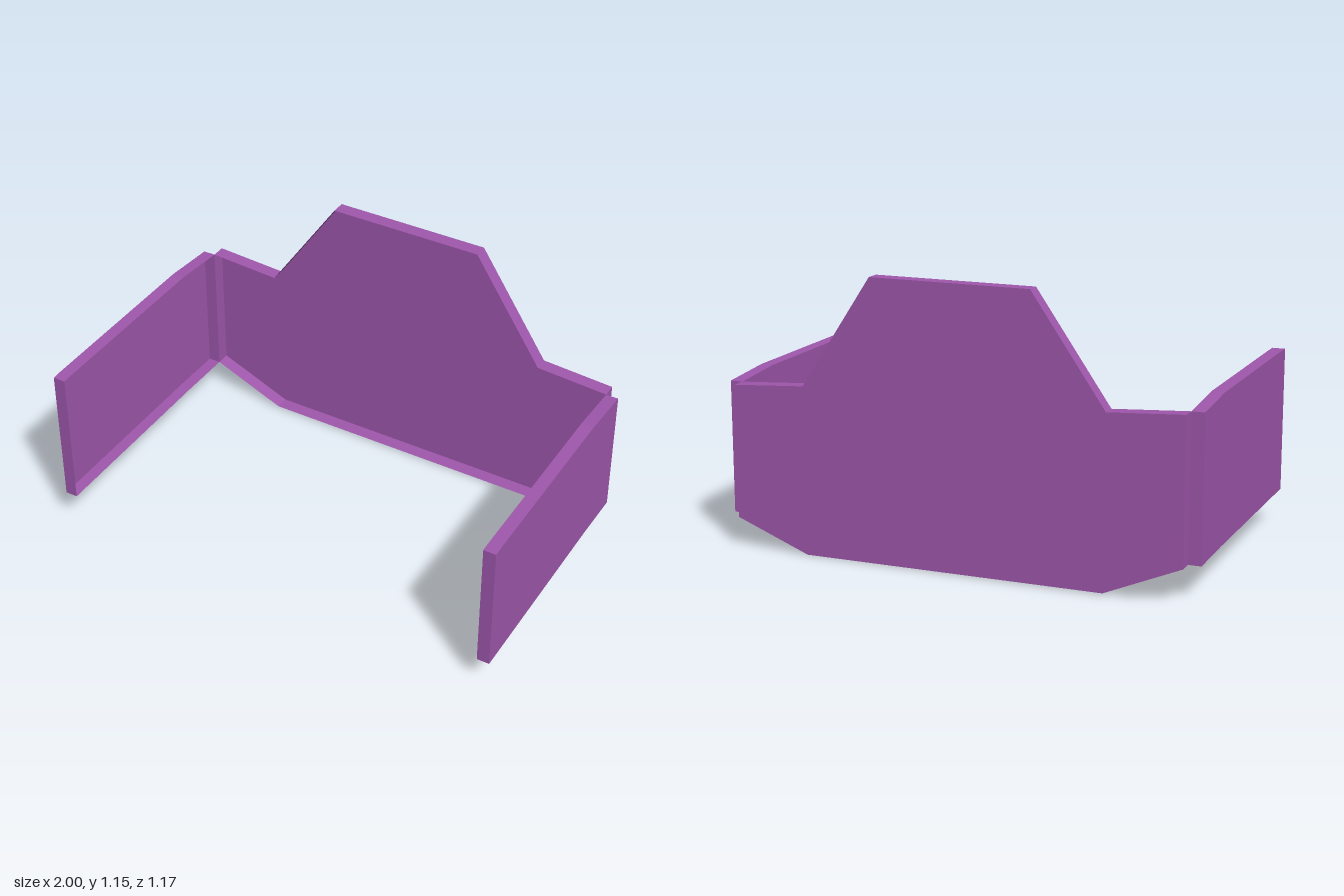
import * as THREE from 'three';

const material = new THREE.MeshStandardMaterial({
  color: 0x9f57ac, flatShading: true, side: THREE.DoubleSide,
});

// Hollow panel: one outer face at z = 0 and a rim reaching to z = depth, open on the inside
function openPanel(name, outline, depth) {
  const points = outline.map(([x, y]) => new THREE.Vector2(x, y));
  const positions = [];
  const addTriangle = (a, b, c) => positions.push(...a, ...(depth > 0 ? [...b, ...c] : [...c, ...b]));
  const at = (i, z) => [points[i].x, points[i].y, z];

  // Outer face
  for (const [a, b, c] of THREE.ShapeUtils.triangulateShape(points, [])) {
    addTriangle(at(a, 0), at(c, 0), at(b, 0));
  }
  // Rim
  for (let i = 0; i < points.length; i++) {
    const j = (i + 1) % points.length;
    addTriangle(at(i, 0), at(j, 0), at(j, depth));
    addTriangle(at(i, 0), at(j, depth), at(i, depth));
  }

  const geometry = new THREE.BufferGeometry();
  geometry.setAttribute('position', new THREE.Float32BufferAttribute(positions, 3));
  geometry.computeVertexNormals();
  const mesh = new THREE.Mesh(geometry, material);
  mesh.name = name;
  return mesh;
}

// Side wall running front to back, dipping slightly where it meets the back plate
function sideWall(name, side, bottom, top, bottomRear, topRear) {
  const wall = openPanel(name, [
    [-0.586, bottom], [0.28, bottom], [0.527, bottomRear],
    [0.527, topRear], [0.28, top], [-0.55, top], [-0.586, top - 0.002],
  ], -side * 0.053);
  wall.geometry.rotateY(Math.PI / 2); // outline runs along -z, rim along x
  wall.position.x = side;
  return wall;
}

export function createModel() {
  const model = new THREE.Group();
  model.name = 'threeSidedPanel';

  // Back plate with a raised centre and chamfered lower corners
  const back = openPanel('backPlate', [
    [-0.947, 0.142], [-0.63, 0.006], [0.633, 0],
    [0.947, 0.122], [0.947, 0.675], [0.638, 0.696],
    [0.337, 1.154], [-0.331, 1.154], [-0.636, 0.713], [-0.947, 0.733],
  ], 0.06);
  back.position.z = -0.587;
  model.add(back);

  // Side walls, the right one a little taller and higher
  model.add(sideWall('leftWall', 1, 0.129, 0.693, 0.122, 0.675));
  model.add(sideWall('rightWall', -1, 0.147, 0.755, 0.142, 0.733));
  return model;
}
